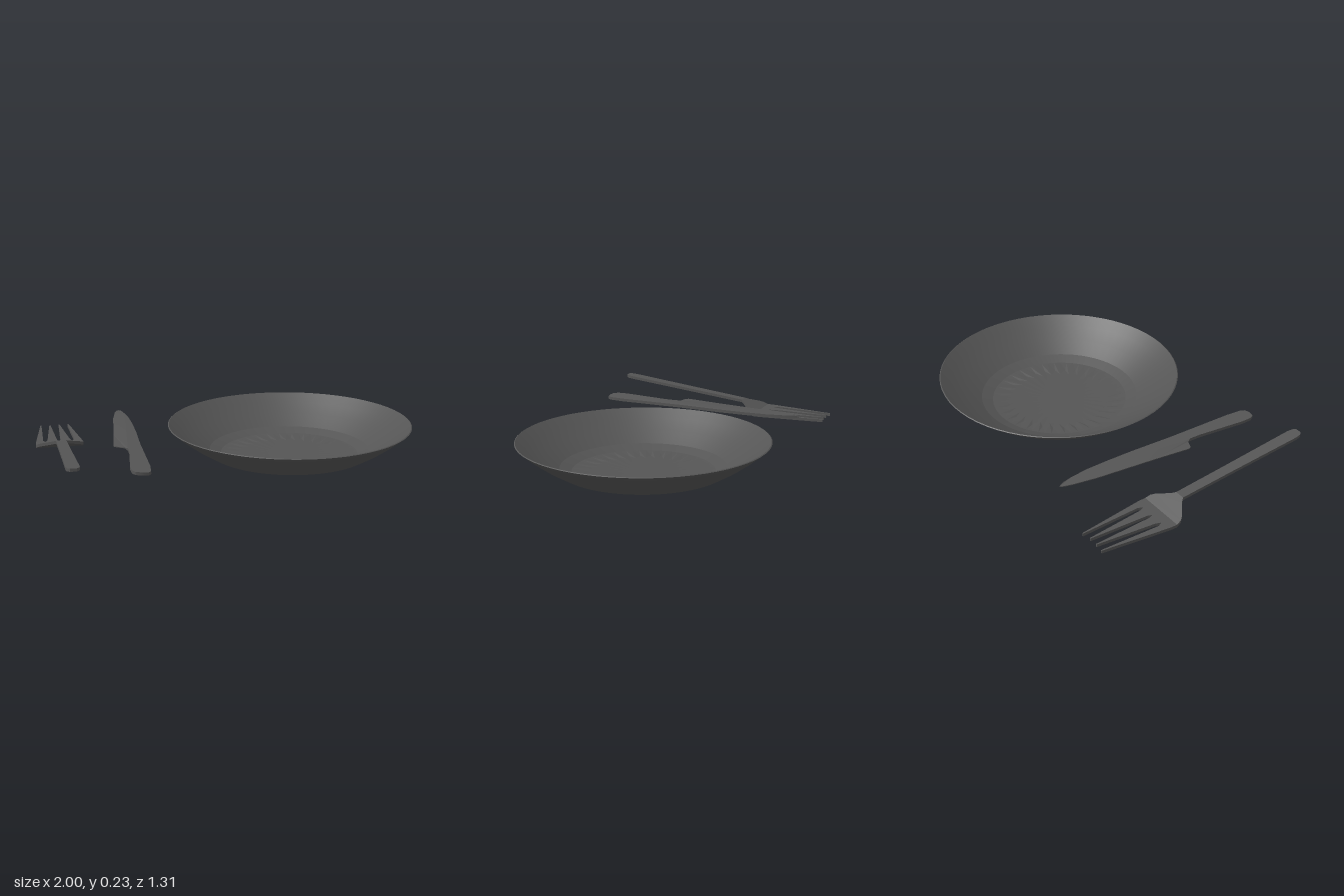
import * as THREE from 'three';
import { mergeVertices, toCreasedNormals } from 'three/addons/utils/BufferGeometryUtils.js';

const metal = new THREE.MeshStandardMaterial({ color: 0x555555 });
metal.name = 'dark grey';

// Thin slab from a top-view outline of [x, z] points; place(x, z, isTop) gives the height.
function slab(name, outline, place) {
  const shape = new THREE.Shape(outline.map(([x, z]) => new THREE.Vector2(x, z)));
  const geo = new THREE.ExtrudeGeometry(shape, { depth: 1, bevelEnabled: false });
  geo.rotateX(Math.PI / 2);
  const p = geo.attributes.position;
  for (let i = 0; i < p.count; i++) {
    p.setY(i, place(p.getX(i), p.getZ(i), p.getY(i) > -0.5));
  }
  const mesh = new THREE.Mesh(toCreasedNormals(geo, 0.6), metal);
  mesh.name = name;
  return mesh;
}

// Completes a right-hand half outline with its mirror image.
const mirrored = (half) => [...half, ...half.slice().reverse().filter(([x]) => x !== 0).map(([x, z]) => [-x, z])];

function makePlate() {
  const profile = [
    [0, 0], [0.34, 0.02], [0.435, 0.048], [0.52, 0.098], [0.6, 0.155], [0.655, 0.2],
    [0.65, 0.203], [0.595, 0.163], [0.515, 0.108], [0.43, 0.058], [0.37, 0.036], [0.28, 0.026], [0, 0.022],
  ].map(([r, y]) => new THREE.Vector2(r, y));
  const segments = 64;
  let geo = new THREE.LatheGeometry(profile, segments);
  // Scalloped edge around the inner base
  const p = geo.attributes.position;
  const inner = profile.length - 2;
  for (let s = 0; s <= segments; s++) {
    const i = s * profile.length + inner;
    const k = s % 2 ? 1.08 : 0.92;
    p.setX(i, p.getX(i) * k);
    p.setZ(i, p.getZ(i) * k);
  }
  geo.deleteAttribute('normal');
  geo.deleteAttribute('uv');
  geo = toCreasedNormals(mergeVertices(geo), 0.14);
  const plate = new THREE.Mesh(geo, metal);
  plate.name = 'plate';
  plate.position.x = 0.345;
  return plate;
}

function makeFork() {
  const fork = new THREE.Group();
  fork.name = 'fork';
  const thick = 0.016;
  // Straight slope between two stations along z
  const slope = (z0, y0, z1, y1) => (x, z, top) =>
    y0 + (y1 - y0) * (z - z0) / (z1 - z0) - (top ? 0 : thick);

  const handle = mirrored([
    [0.027, -0.1], [0.029, 0.2], [0.034, 0.61], [0.029, 0.64], [0.016, 0.655],
  ]);
  const shoulder = mirrored([[0.127, -0.21], [0.122, -0.185], [0.105, -0.165], [0.045, -0.12], [0.027, -0.1]]);
  // Head with four tapering tines
  const tines = mirrored([
    [0, -0.262], [0.009, -0.285], [0.023, -0.602], [0.029, -0.602],
    [0.061, -0.29], [0.071, -0.262], [0.084, -0.285], [0.073, -0.61], [0.079, -0.61],
    [0.126, -0.25], [0.127, -0.21],
  ]);
  fork.add(
    slab('forkHandle', handle, slope(-0.1, 0.148, 0.655, 0.233)),
    slab('forkShoulder', shoulder, slope(-0.21, 0.097, -0.1, 0.148)),
    slab('forkTines', tines, slope(-0.61, 0.092, -0.21, 0.097)),
  );
  fork.position.x = -0.873;
  return fork;
}

function makeKnife() {
  const outline = [
    [-0.515, -0.555], [-0.504, -0.53], [-0.49, -0.47], [-0.477, -0.37], [-0.474, -0.25], [-0.475, -0.1],
    [-0.485, 0.14], [-0.489, 0.51], [-0.497, 0.595], [-0.51, 0.615], [-0.542, 0.62], [-0.575, 0.61],
    [-0.589, 0.585], [-0.59, 0.53], [-0.56, 0.27], [-0.559, 0.21], [-0.57, 0.188], [-0.62, 0.165],
    [-0.626, 0.15], [-0.6, -0.05], [-0.565, -0.37], [-0.54, -0.5], [-0.525, -0.545],
  ];
  // Thick handle and spine, thin cutting edge
  return slab('knife', outline, (x, z, top) => {
    const centre = 0.171 - 0.07 * (x + 0.54);
    const half = z < 0.19 && x < -0.512 ? 0.002 : 0.008;
    return centre + (top ? half : -half);
  });
}

export function createModel() {
  const model = new THREE.Group();
  model.name = 'tableSetting';
  model.add(makePlate(), makeKnife(), makeFork());
  return model;
}
